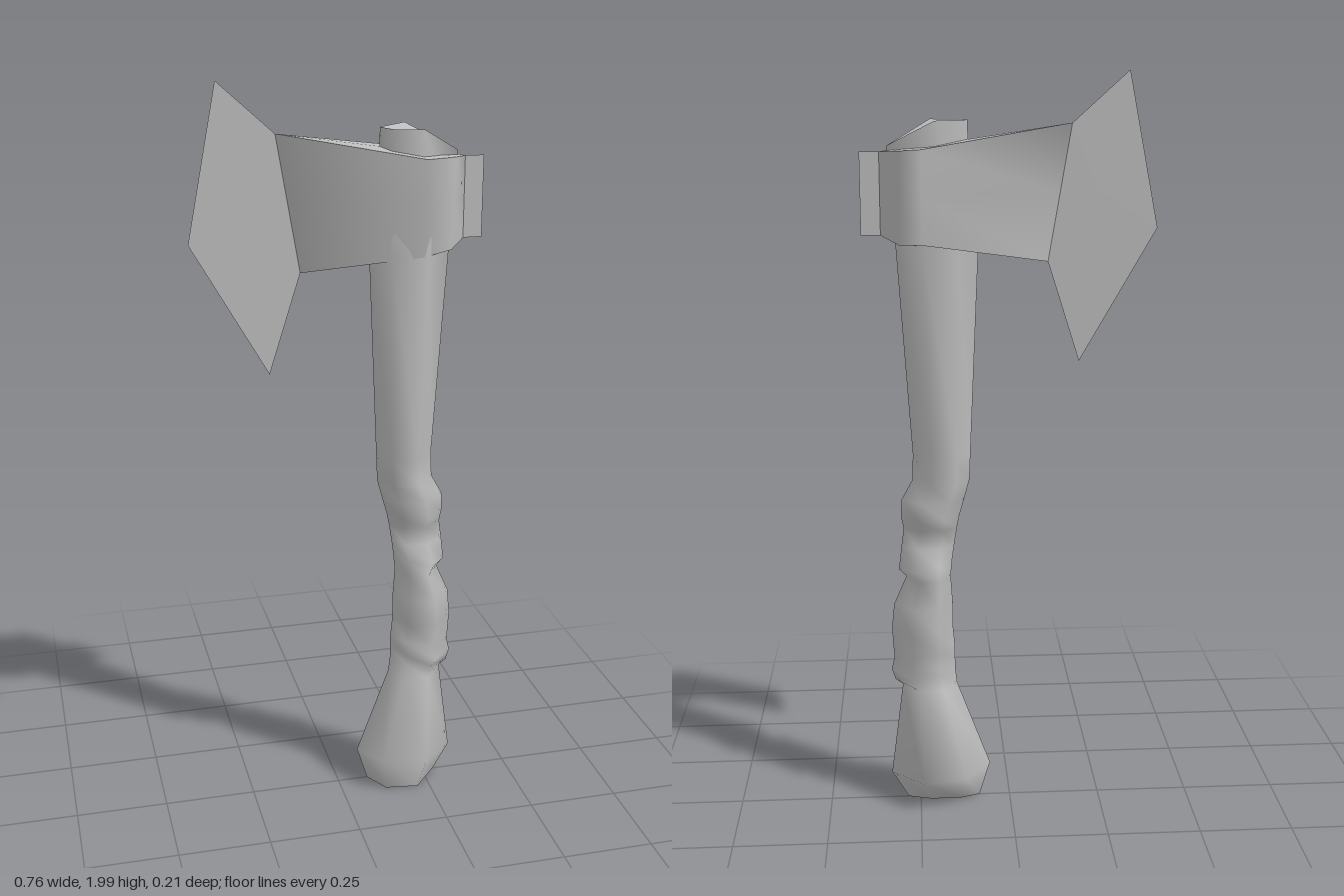
import * as THREE from 'three';

const steel = new THREE.MeshStandardMaterial({ color: 0xbebebe, side: THREE.DoubleSide });
steel.name = 'plain grey';

function makeMesh(name, points, index) {
  const g = new THREE.BufferGeometry();
  g.setAttribute('position', new THREE.Float32BufferAttribute(points.flat(), 3));
  g.setIndex(index);
  g.computeVertexNormals();
  const mesh = new THREE.Mesh(g, steel);
  mesh.name = name;
  return mesh;
}

// Fan of triangles around the middle of a loop
function fan(name, loop, flip, centre) {
  const n = loop.length;
  const mid = centre || [0, 1, 2].map(k => loop.reduce((s, p) => s + p[k], 0) / n);
  const index = [];
  for (let j = 0; j < n; j++) {
    const k = (j + 1) % n;
    index.push(n, flip ? k : j, flip ? j : k);
  }
  return makeMesh(name, [...loop, mid], index);
}

// Smooth skin over rings that run anticlockwise seen from above, bottom ring first
function loft(name, rings) {
  const n = rings[0].length, index = [];
  for (let i = 0; i < rings.length - 1; i++) {
    for (let j = 0; j < n; j++) {
      const a = i * n + j, b = i * n + (j + 1) % n;
      index.push(a, b, a + n, b, b + n, a + n);
    }
  }
  const group = new THREE.Group();
  group.name = name;
  group.add(makeMesh(name + 'Sides', rings.flat(), index));
  group.add(fan(name + 'Bottom', rings[0], true));
  group.add(fan(name + 'Top', rings[rings.length - 1], false));
  return group;
}

export function createModel() {
  const axe = new THREE.Group();
  axe.name = 'axe';

  // Handle: y, left x, right x, back z, front z, tilt of the ring
  const section = [[1, 0], [0.35, -1], [-0.5, -0.9], [-1, 0], [-0.6, 0.85], [0.3, 1]];
  const stations = [
    [0.012, 0.085, 0.285, -0.02, 0.08, 0],
    [0.10, 0.055, 0.33, -0.10, 0.095, -0.01],
    [0.355, 0.145, 0.295, -0.06, 0.068, 0],
    [0.385, 0.15, 0.315, -0.045, 0.05, -0.015],
    [0.415, 0.15, 0.325, -0.057, 0.07, -0.015],
    [0.45, 0.15, 0.317, -0.048, 0.05, -0.015],
    [0.52, 0.155, 0.322, -0.065, 0.072, 0],
    [0.59, 0.155, 0.315, -0.06, 0.07, 0],
    [0.67, 0.16, 0.28, -0.062, 0.07, 0],
    [0.705, 0.155, 0.30, -0.068, 0.073, -0.015],
    [0.755, 0.15, 0.292, -0.036, 0.042, 0],
    [0.805, 0.142, 0.285, -0.036, 0.042, 0],
    [0.84, 0.135, 0.292, -0.068, 0.07, 0],
    [0.885, 0.122, 0.29, -0.055, 0.058, 0],
    [0.94, 0.107, 0.26, -0.068, 0.07, 0],
    [1.01, 0.104, 0.257, -0.056, 0.062, 0],
    [1.56, 0.08, 0.292, -0.05, 0.074, 0],
    [1.62, 0.085, 0.295, -0.055, 0.074, 0],
  ];
  axe.add(loft('handle', stations.map(([y, x0, x1, z0, z1, tilt]) => section.map(([u, v]) => [
    (x0 + x1) / 2 + u * (x1 - x0) / 2,
    y + tilt * u,
    v < 0 ? -v * z0 : v * z1,
  ]))));

  // Five-sided end of the handle above the head, dropping toward the back of the axe
  const plan = [[0.31, 0], [0.19, -0.075], [0.105, 0], [0.125, 0.05], [0.2, 0.075]];
  axe.add(loft('handleTop', [
    plan.map(([x, z]) => [x, 1.6, z * 0.85]),
    plan.map(([x, z], i) => [x, i === 0 ? 1.815 : 1.878, z]),
  ]));

  // Head: wedge that narrows to the blade on one side and the spur on the other
  const low = [
    [0.33, 1.59, 0], [0.28, 1.57, -0.06], [0.225, 1.575, -0.098],
    [-0.10, 1.52, 0], [0.20, 1.56, 0.075], [0.285, 1.57, 0.045],
  ];
  const high = [
    [0.33, 1.80, 0], [0.28, 1.805, -0.068], [0.225, 1.81, -0.105],
    [-0.16, 1.87, 0], [0.20, 1.81, 0.105], [0.29, 1.805, 0.05],
  ];
  const middle = low.map((p, i) => p.map((v, k) => (v + high[i][k]) / 2));
  axe.add(loft('head', [low, middle, high]));

  // Thin flared blade
  axe.add(fan('blade', [
    [-0.10, 1.52, 0], [-0.13, 1.695, 0], [-0.16, 1.87, 0],
    [-0.305, 2.0, 0], [-0.383, 1.605, 0], [-0.183, 1.258, 0],
  ], false, [-0.23, 1.7, 0]));

  // Thin square spur behind the head
  axe.add(fan('spur', [
    [0.32, 1.59, 0], [0.38, 1.59, 0], [0.38, 1.80, 0], [0.32, 1.80, 0],
  ], false));

  return axe;
}
